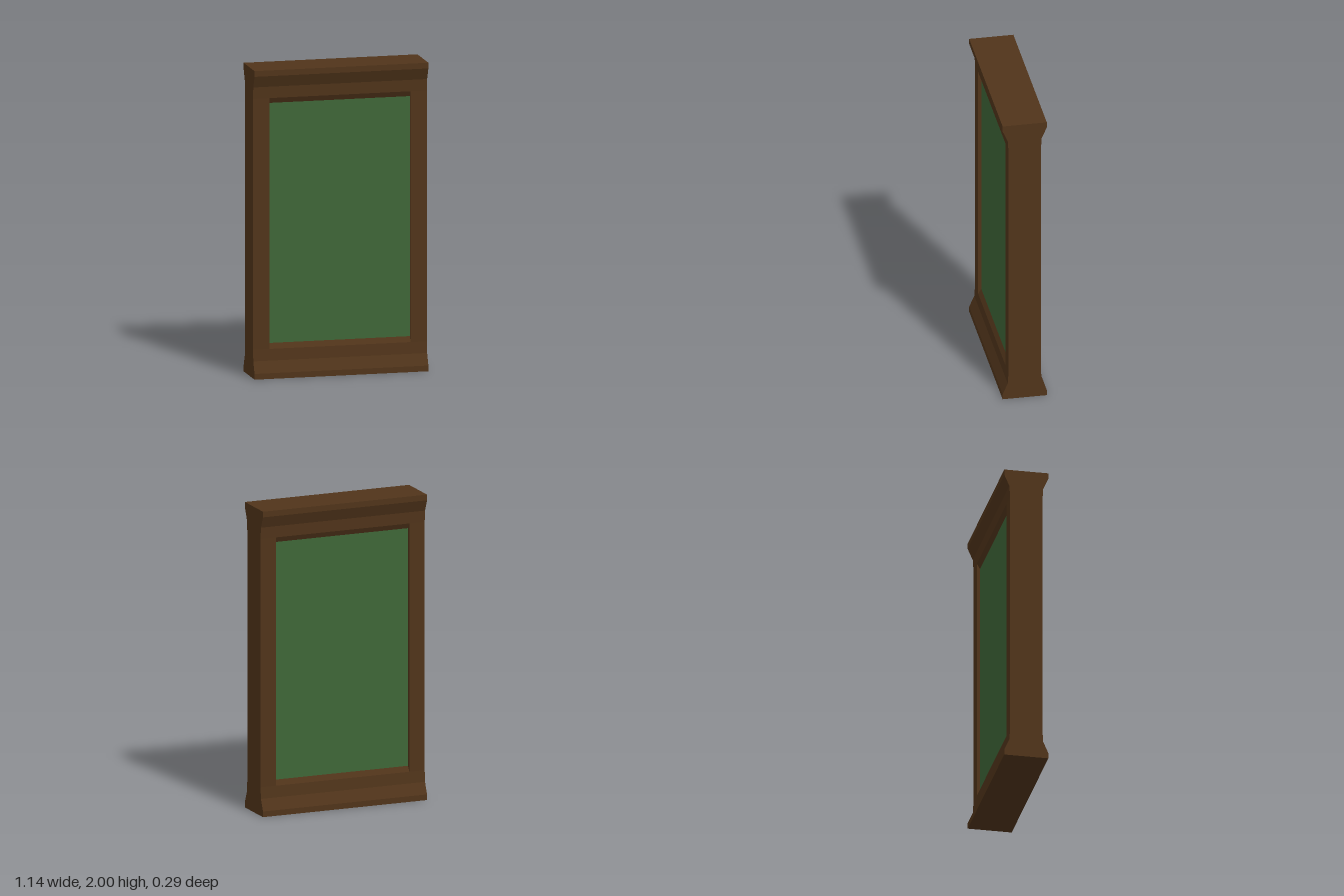
import * as THREE from 'three';

const W = 0.57;        // half width of the frame
const INNER = 0.463;   // half width of the opening
const OPEN = 0.187;    // height of the opening's lower edge on the face
const PANEL = 0.222;   // height where the panel starts
const FACE = 0.105;    // half depth of the stiles
const RECESS = 0.085;  // half depth of the panel

const wood = new THREE.MeshStandardMaterial({ color: 0x50341a, flatShading: true });
const green = new THREE.MeshStandardMaterial({ color: 0x3e6637, flatShading: true });

// Extrudes a front-to-back symmetric profile of [half depth, y] along x
function alongX(profile, halfLength) {
  const pts = [
    ...profile.map(([z, y]) => new THREE.Vector2(-z, y)),
    ...profile.slice().reverse().map(([z, y]) => new THREE.Vector2(z, y)),
  ];
  const geo = new THREE.ExtrudeGeometry(new THREE.Shape(pts), {
    depth: halfLength * 2, bevelEnabled: false,
  });
  geo.translate(0, 0, -halfLength);
  geo.rotateY(Math.PI / 2);
  return geo;
}

function addMesh(parent, name, geo, mat) {
  const mesh = new THREE.Mesh(geo, mat);
  mesh.name = name;
  parent.add(mesh);
  return mesh;
}

export function createModel() {
  const model = new THREE.Group();
  model.name = 'framedPanel';

  // Flared rails and sloping inner ledges, the same at bottom and top
  const railProfile = [[0.143, 0], [0.143, 0.037], [0.11, 0.112], [FACE, OPEN]];
  const ledgeProfile = [[FACE, OPEN], [RECESS, PANEL]];
  for (const end of ['bottom', 'top']) {
    const group = new THREE.Group();
    group.name = end + 'Rail';
    addMesh(group, end + 'Moulding', alongX(railProfile, W), wood);
    addMesh(group, end + 'Ledge', alongX(ledgeProfile, INNER), wood);
    if (end === 'top') {
      group.rotation.x = Math.PI;
      group.position.y = 2;
    }
    model.add(group);
  }

  // Upright stiles between the rails
  for (const side of [1, -1]) {
    const geo = new THREE.BoxGeometry(W - INNER, 2 - 2 * OPEN, FACE * 2);
    const stile = addMesh(model, side > 0 ? 'leftStile' : 'rightStile', geo, wood);
    stile.position.set(side * (W + INNER) / 2, 1, 0);
  }

  // Recessed panel, seen from both faces
  const panel = addMesh(model, 'panel',
    new THREE.BoxGeometry(INNER * 2, 2 - 2 * PANEL, RECESS * 2), green);
  panel.position.y = 1;

  return model;
}
